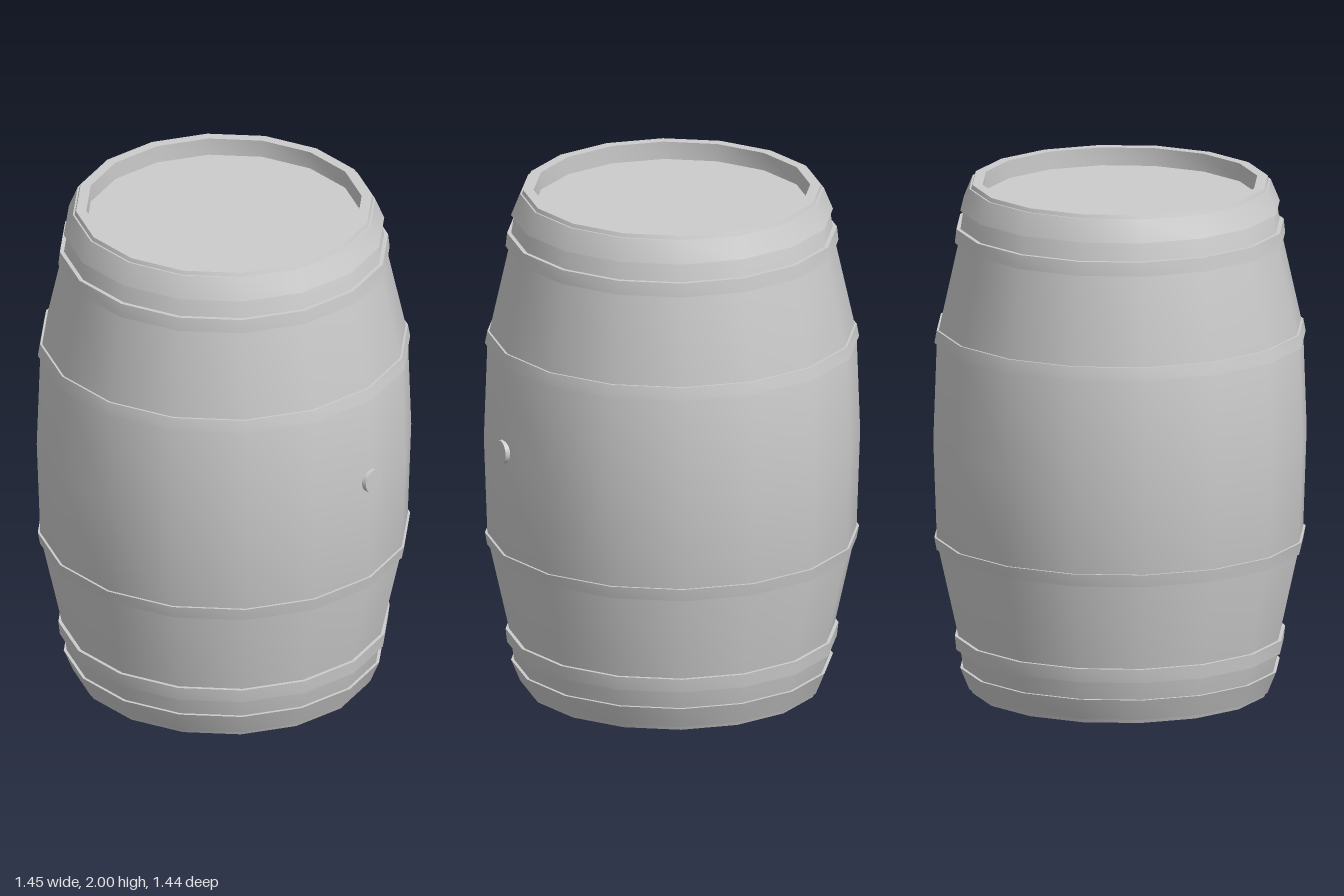
import * as THREE from 'three';
import { toCreasedNormals } from 'three/addons/utils/BufferGeometryUtils.js';

const SIDES = 16;
const CENTRE_X = -0.004;

export function createModel() {
  const model = new THREE.Group();
  model.name = 'barrel';
  const material = new THREE.MeshStandardMaterial({ color: 0xcccccc });

  // Revolve a bottom-to-top list of [radius, height] around the barrel's axis
  const revolve = (name, profile) => {
    const points = profile.map(([r, y]) => new THREE.Vector2(r, y));
    const geometry = toCreasedNormals(new THREE.LatheGeometry(points, SIDES), 0.6);
    const mesh = new THREE.Mesh(geometry, material);
    mesh.name = name;
    mesh.position.x = CENTRE_X;
    model.add(mesh);
  };

  // Staves with recessed heads; the upper half mirrors the lower
  const lower = [
    [0, 0.07], [0.53, 0.07], [0.53, 0], [0.57, 0],
    [0.605, 0.1], [0.625, 0.23], [0.707, 0.6],
  ];
  const upper = lower.map(([r, y]) => [r, 2 - y]).reverse();
  revolve('staves', [...lower, [0.721, 1], ...upper]);

  // Hoops, each given by its end-side and middle-side edge: radius, height
  const hoops = [
    ['endHoop', 0.582, 0.015, 0.617, 0.1],
    ['quarterHoop', 0.632, 0.172, 0.638, 0.226],
    ['bilgeHoop', 0.708, 0.568, 0.717, 0.617],
  ];
  const thickness = 0.03;
  for (const [name, r0, y0, r1, y1] of hoops) {
    const section = [
      [r0 - thickness, y0], [r0, y0], [r1, y1], [r1 - thickness, y1], [r0 - thickness, y0],
    ];
    revolve(name + 'Bottom', section);
    revolve(name + 'Top', section.map(([r, y]) => [r, 2 - y]).reverse());
  }

  // Bung on the left side
  const bungGeometry = toCreasedNormals(new THREE.CylinderGeometry(0.046, 0.046, 0.04, 20), 0.6);
  const bung = new THREE.Mesh(bungGeometry, material);
  bung.name = 'bung';
  bung.rotation.z = -Math.PI / 2;
  bung.position.set(0.706, 1.038, 0);
  model.add(bung);

  return model;
}
